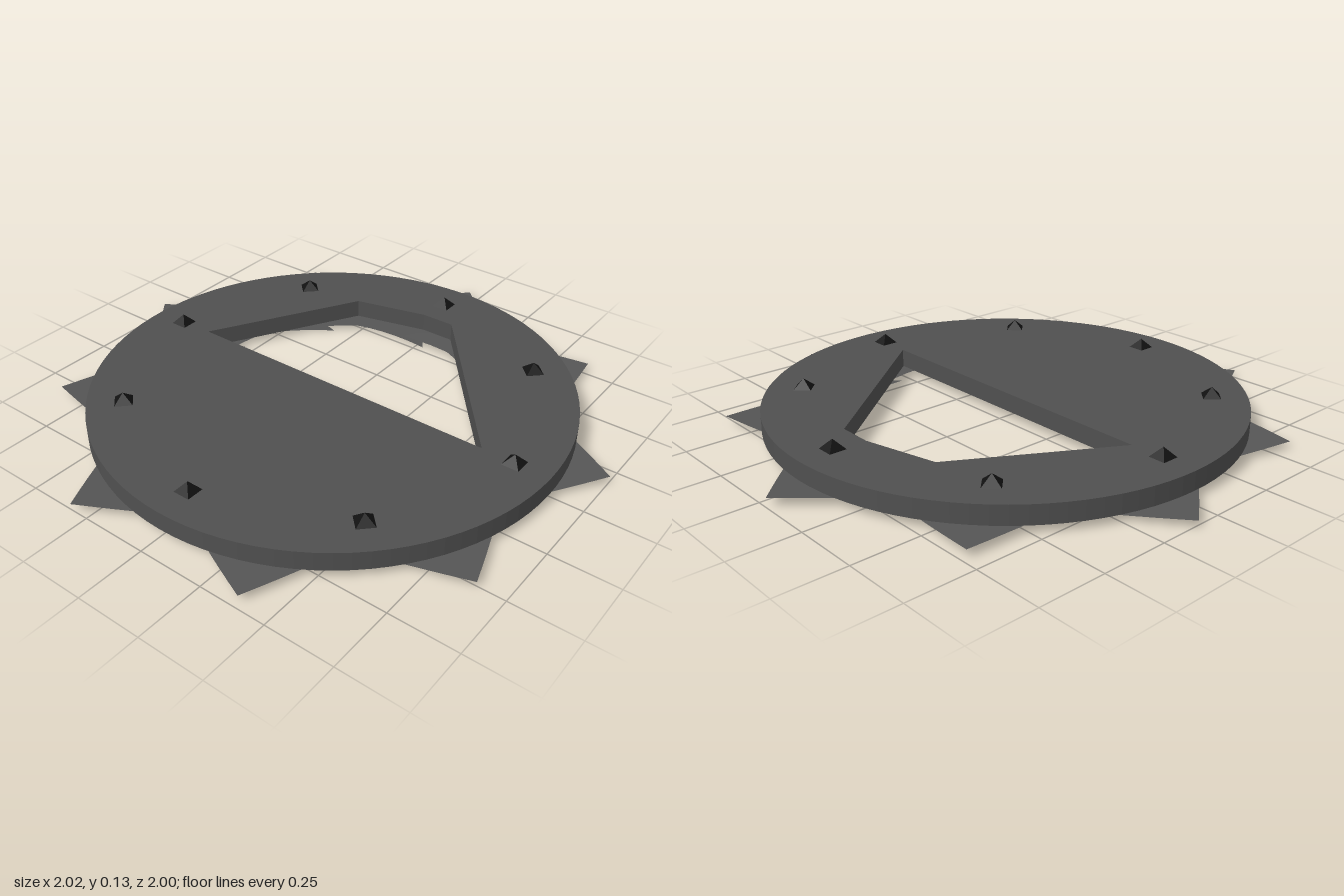
import * as THREE from 'three';

const RADIUS = 0.885, BOTTOM = 0.03, TOP = 0.1;

// Flat shape laid down so that shape y points to -z
function layFlat(geometry) {
  return geometry.rotateX(-Math.PI / 2);
}

// Round plate with an angular window behind its middle
function makePlate(material) {
  const shape = new THREE.Shape();
  shape.absarc(0, 0, RADIUS, 0, Math.PI * 2);
  const corners = [[0.625, 0.005], [0.11, 0.635], [-0.02, 0.635], [-0.3, 0.565], [-0.625, 0.005]];
  shape.holes.push(new THREE.Path(corners.map(([x, y]) => new THREE.Vector2(x, y))));
  const geometry = new THREE.ExtrudeGeometry(shape, {
    depth: TOP - BOTTOM, bevelEnabled: false, curveSegments: 48,
  });
  const plate = new THREE.Mesh(layFlat(geometry).translate(0, BOTTOM, 0), material);
  plate.name = 'coverPlate';
  return plate;
}

// Thin tilted leaf: one outer corner, two bowed edges, a concave inner edge
function makeBladeGeometry() {
  const shape = new THREE.Shape();
  shape.moveTo(0.395, -0.395);
  shape.bezierCurveTo(0.56, -0.43, 0.75, -0.27, 1.025, 0);
  shape.bezierCurveTo(0.75, 0.27, 0.56, 0.43, 0.395, 0.395);
  shape.quadraticCurveTo(0.8, 0, 0.395, -0.395);
  const geometry = new THREE.ShapeGeometry(shape, 16);
  const p = geometry.attributes.position;
  for (let i = 0; i < p.count; i++) {
    const x = p.getX(i), y = p.getY(i);
    p.setZ(i, 0.03 - 0.03 * (1.025 - x) + 0.025 * y);
  }
  geometry.computeVertexNormals();
  return layFlat(geometry);
}

export function createModel() {
  const model = new THREE.Group();
  model.name = 'irisDiaphragm';
  model.position.z = 0.03;

  const plateMaterial = new THREE.MeshStandardMaterial({ color: 0x505050 });
  const bladeMaterial = new THREE.MeshStandardMaterial({ color: 0x555555, side: THREE.DoubleSide });
  const pinMaterial = new THREE.MeshStandardMaterial({ color: 0x111111, flatShading: true });

  model.add(makePlate(plateMaterial));

  // Nine overlapping leaves under the plate
  const blades = new THREE.Group();
  blades.name = 'blades';
  const bladeGeometry = makeBladeGeometry();
  for (let i = 0; i < 9; i++) {
    const blade = new THREE.Mesh(bladeGeometry, bladeMaterial);
    blade.name = 'blade';
    blade.rotation.y = THREE.MathUtils.degToRad(92 + i * 40);
    blades.add(blade);
  }
  model.add(blades);

  // Eight pointed studs around the rim
  const studs = new THREE.Group();
  studs.name = 'studs';
  const studGeometry = new THREE.ConeGeometry(0.047, 0.037, 4).rotateY(Math.PI / 4);
  for (let i = 0; i < 8; i++) {
    const angle = (i * Math.PI) / 4;
    const stud = new THREE.Mesh(studGeometry, pinMaterial);
    stud.name = 'stud';
    stud.position.set(0.752 * Math.cos(angle), TOP + 0.0175, -0.752 * Math.sin(angle));
    stud.rotation.y = angle;
    studs.add(stud);
  }
  model.add(studs);

  return model;
}
